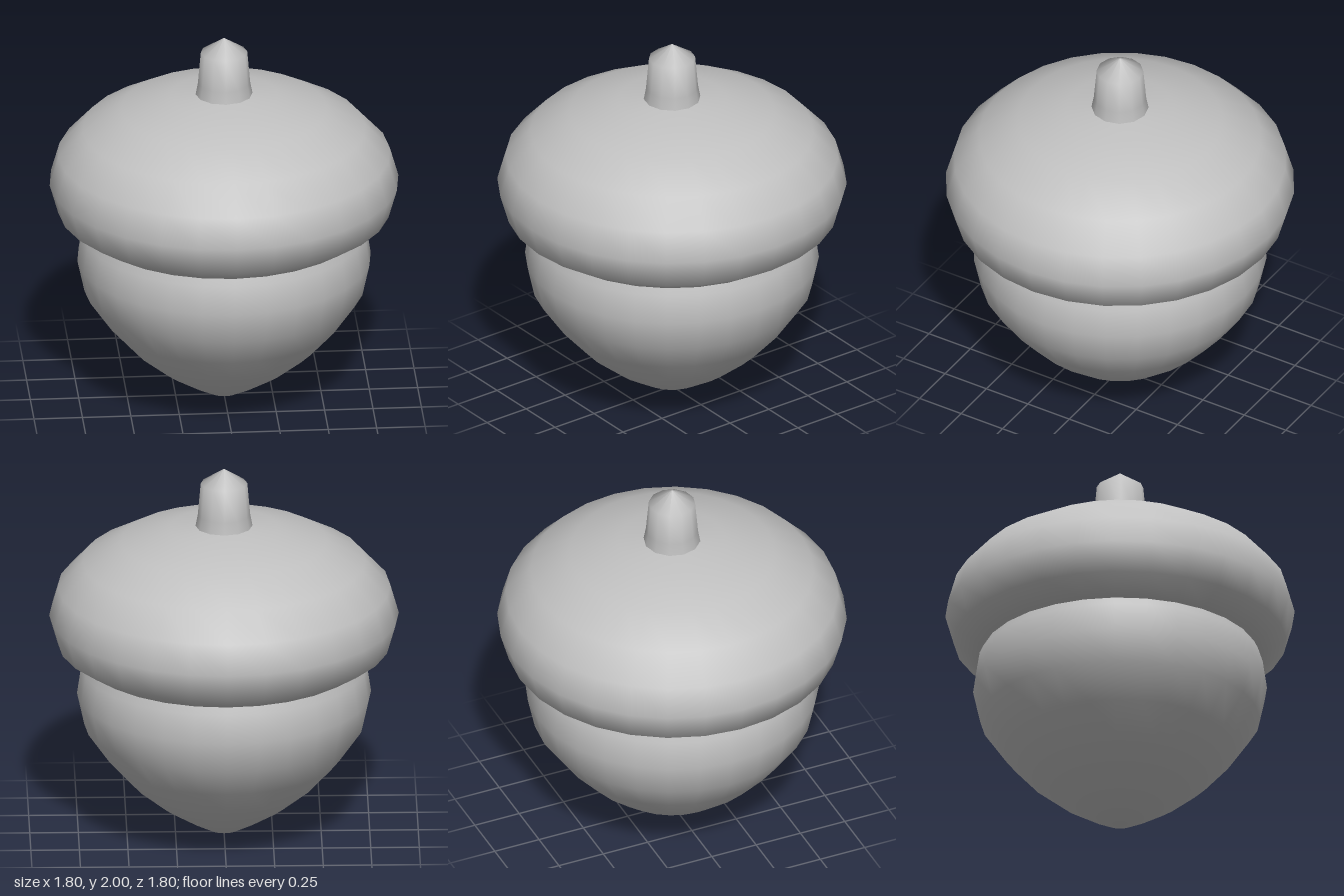
import * as THREE from 'three';

export function createModel() {
  const model = new THREE.Group();
  const grey = new THREE.MeshStandardMaterial({ color: 0xc0c0c0 });
  grey.name = 'plain grey';

  // Profiles run from bottom to top so the faces point outwards
  function turned(name, profile, sides) {
    const points = profile.map(([r, y]) => new THREE.Vector2(r, y));
    const mesh = new THREE.Mesh(new THREE.LatheGeometry(points, sides), grey);
    mesh.name = name;
    model.add(mesh);
  }

  // Nut: pointed below, tucked into the cap above
  turned('nut', [
    [0, 0], [0.08, 0.02], [0.18, 0.075], [0.33, 0.17], [0.476, 0.29], [0.605, 0.434],
    [0.72, 0.6], [0.757, 0.77], [0.735, 0.92], [0.66, 1.08],
  ], 28);

  // Cap: a flattened dome, cut off level under its rim
  const cap = [[0.62, 0.962], [0.725, 0.962]];
  for (let i = -1; i <= 5; i++) {
    const a = (i * Math.PI) / 10;
    cap.push([i === 5 ? 0 : 0.9 * Math.cos(a), 1.2 + 0.5 * Math.sin(a)]);
  }
  turned('cap', cap, 28);

  // Stem: slightly flared foot and a low pointed tip
  turned('stem', [[0.15, 1.67], [0.135, 1.75], [0.12, 1.92], [0, 2]], 12);

  return model;
}
